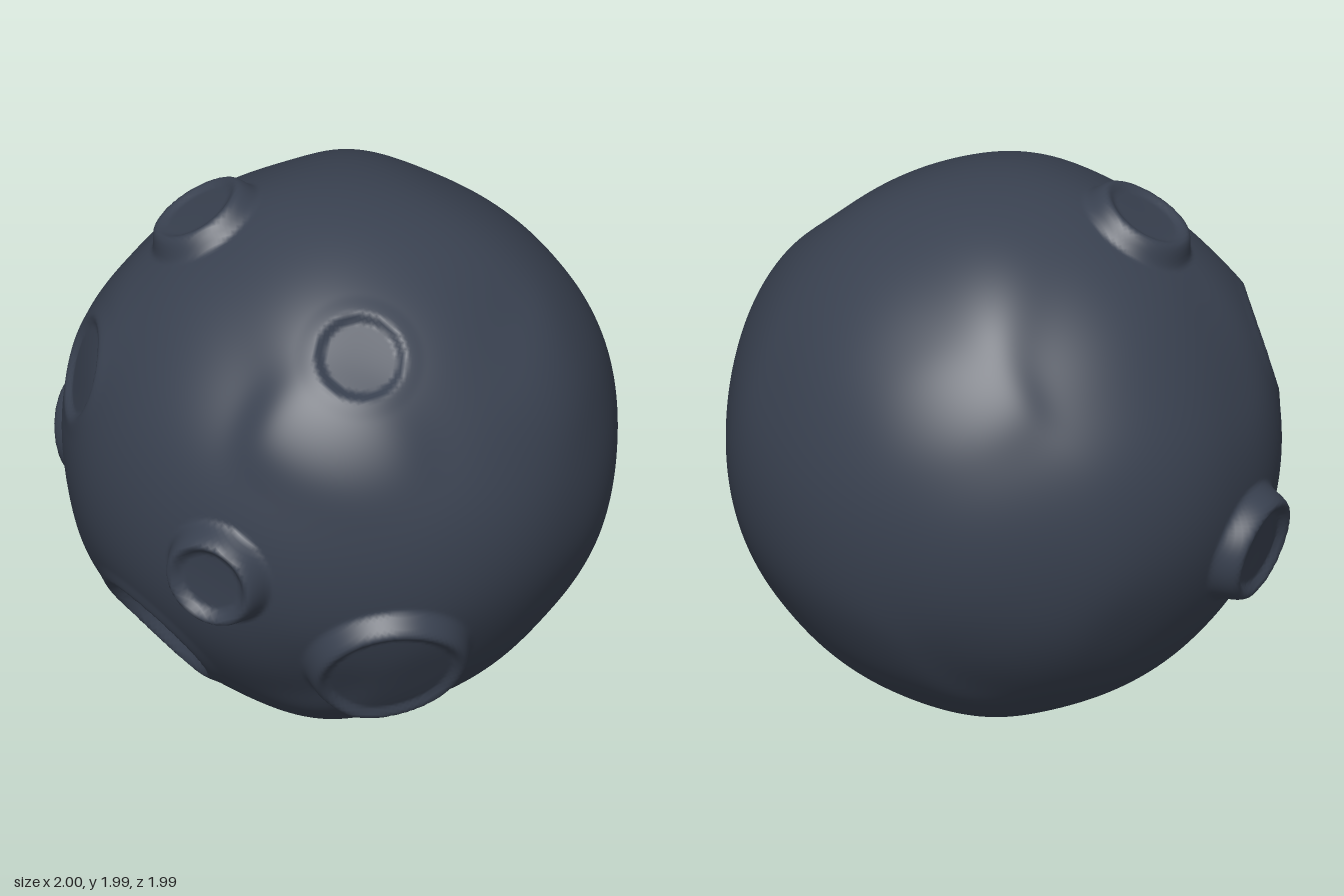
import * as THREE from 'three';
import { mergeVertices } from 'three/addons/utils/BufferGeometryUtils.js';

// Ground radii around a great circle, evenly spaced from axis u towards axis v
function ring(u, v, radii) {
  return radii.map((r, i) => {
    const a = i / radii.length * Math.PI * 2;
    const dir = u.clone().multiplyScalar(Math.cos(a)).addScaledVector(v, Math.sin(a));
    return { r, dir };
  });
}

// Great circle facing a given azimuth and elevation (degrees)
function tiltedRing(azimuth, elevation, radii) {
  const a = THREE.MathUtils.degToRad(azimuth), e = THREE.MathUtils.degToRad(elevation);
  const u = new THREE.Vector3(Math.cos(a), 0, -Math.sin(a));
  const v = new THREE.Vector3(-Math.sin(e) * Math.sin(a), Math.cos(e), -Math.sin(e) * Math.cos(a));
  return ring(u, v, radii);
}

const X = new THREE.Vector3(1, 0, 0), Y = new THREE.Vector3(0, 1, 0), Z = new THREE.Vector3(0, 0, 1);

// The lumpy ground: three main circles and three tilted ones
const GROUND = [
  ...ring(X, Y, [1, 0.966, 0.96, 0.945, 0.96, 0.985, 1, 0.98, 0.965, 0.957, 0.95, 0.97,
    0.98, 0.96, 0.955, 0.965, 0.98, 0.995, 1, 1.01, 0.99, 0.98, 0.97, 0.98]),
  ...ring(Z, Y, [0.94, 0.95, 0.95, 0.935, 0.95, 0.975, 1, 0.995, 0.97, 0.98, 0.985, 0.98,
    0.99, 1.005, 0.985, 1.005, 0.99, 1, 1, 0.99, 0.97, 0.94, 0.94, 0.95]),
  ...ring(X, Z, [1, 0.995, 0.98, 0.96, 0.945, 0.94, 0.945, 0.96, 0.95, 0.945, 0.95, 0.955,
    0.97, 0.985, 0.966, 0.96, 0.976, 0.99, 0.99, 1, 1.01, 0.965, 0.97, 0.98]),
  ...tiltedRing(35, 25, [1.01, 1, 1, 1.01, 0.96, 0.945, 0.97, 0.97, 0.95, 1.01, 0.98, 0.97]),
  ...tiltedRing(215, 25, [0.99, 0.98, 0.965, 0.99, 0.985, 1.01, 1.01, 1, 0.99, 1.01, 0.98, 0.97]),
  ...tiltedRing(130, -25, [1, 0.99, 0.965, 1, 0.99, 1, 0.98, 0.955, 0.97, 0.985, 0.98, 0.975]),
];

// Craters: direction, crest radius, crest height, floor height (relative to the ground)
const CRATERS = [
  [[-0.36, 0.87, 0.32], 0.16, 0.062, 0.032],
  [[0.525, 0.685, 0.33], 0.17, 0.003, -0.035],
  [[-0.485, 0.31, 0.71], 0.2, 0.003, -0.03],
  [[0.41, -0.05, 0.92], 0.15, 0.092, 0.045],
  [[-0.08, -0.56, 0.77], 0.255, 0.008, -0.065],
  [[0.80, -0.45, 0.42], 0.25, 0.07, 0.035],
  [[-0.92, -0.24, 0.38], 0.17, 0.085, 0.045],
].map(([d, radius, crest, floor]) => ({ dir: new THREE.Vector3(...d).normalize(), radius, crest, floor }));

// Smooth blend of the ground radii near a direction
function groundRadius(dir) {
  let sum = 0, total = 0;
  for (const { r, dir: a } of GROUND) {
    const w = Math.exp(35 * (dir.dot(a) - 1));
    sum += w * r;
    total += w;
  }
  return sum / total;
}

// Shallow bowl, steep inner wall, rounded crest and a flared outer slope
function craterHeight(dir, c) {
  const d = dir.distanceTo(c.dir);
  const inner = c.radius - 0.03, outer = c.radius + 0.07;
  if (d > outer) return 0;
  if (d < inner) return c.floor + 0.01 * (d / inner) ** 2;
  if (d < c.radius) {
    return THREE.MathUtils.lerp(c.floor + 0.01, c.crest, Math.sin((d - inner) / 0.03 * Math.PI / 2));
  }
  return c.crest * (1 - THREE.MathUtils.smoothstep(d, c.radius, outer));
}

export function createModel() {
  const group = new THREE.Group();
  group.name = 'crateredRock';

  // Even sphere with shared vertices, pushed in and out along its radii
  let geometry = new THREE.IcosahedronGeometry(1, 80);
  geometry.deleteAttribute('uv');
  geometry.deleteAttribute('normal');
  geometry = mergeVertices(geometry, 1e-4);
  const pos = geometry.attributes.position;
  const dir = new THREE.Vector3();
  for (let i = 0; i < pos.count; i++) {
    dir.fromBufferAttribute(pos, i).normalize();
    let r = groundRadius(dir);
    for (const c of CRATERS) r += craterHeight(dir, c);
    pos.setXYZ(i, dir.x * r, dir.y * r, dir.z * r);
  }

  // Stand it on the ground
  geometry.center();
  geometry.translate(0, -geometry.boundingBox.min.y, 0);
  geometry.computeBoundingBox();
  geometry.translate(0, -geometry.boundingBox.min.y, 0);
  geometry.computeVertexNormals();

  const rock = new THREE.Mesh(geometry, new THREE.MeshStandardMaterial({ color: 0x394150 }));
  rock.name = 'rockWithCraters';
  group.add(rock);
  return group;
}
